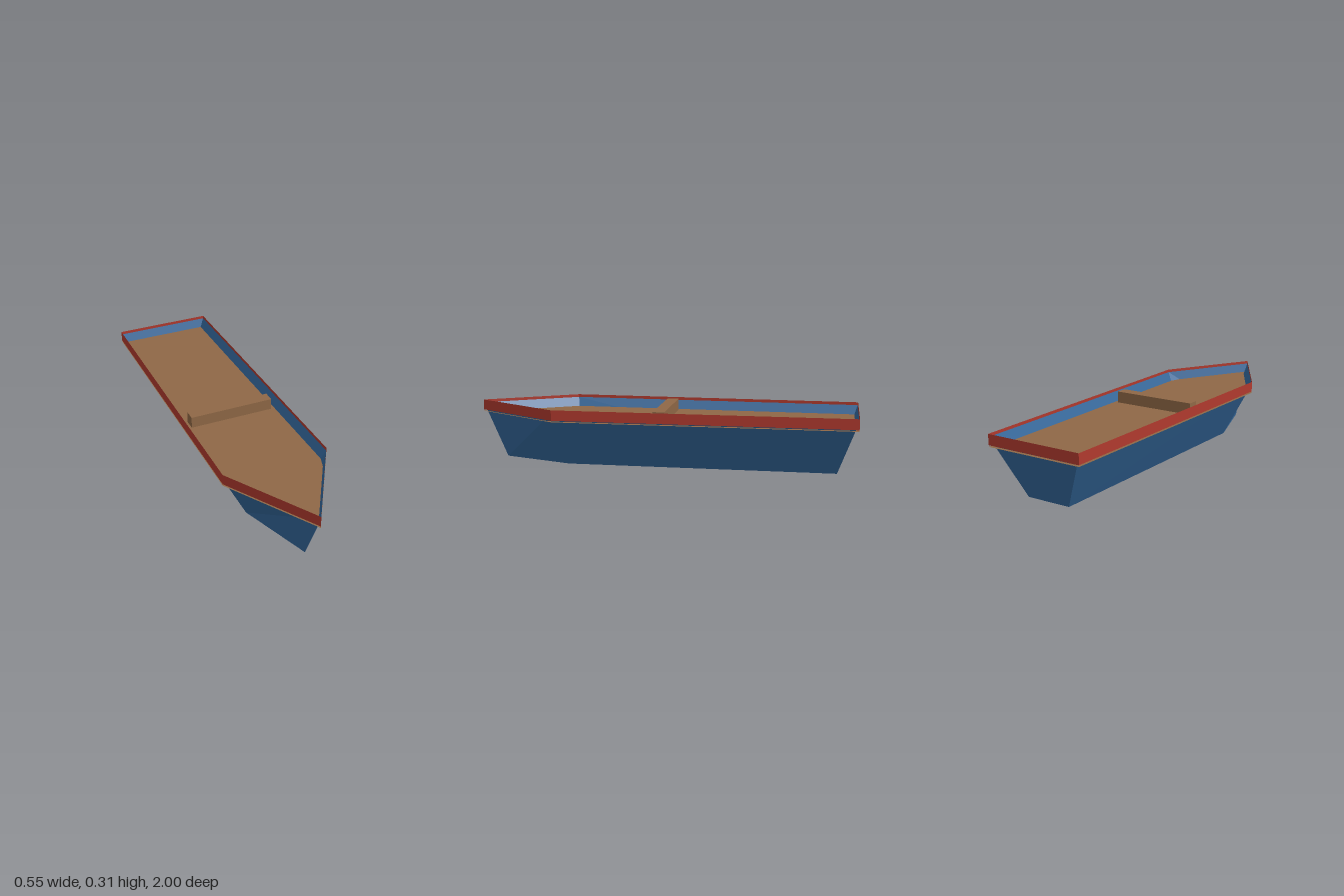
import * as THREE from 'three';

const paint = (name, color) => {
  const m = new THREE.MeshStandardMaterial({ color, side: THREE.DoubleSide, flatShading: true });
  m.name = name;
  return m;
};

// Five-cornered boat outline: pointed bow, two shoulders, flat stern
function outline(y, bowZ, shoulderX, shoulderZ, sternX, sternZ) {
  return [
    [0, y, bowZ], [shoulderX, y, shoulderZ], [sternX, y, sternZ],
    [-sternX, y, sternZ], [-shoulderX, y, shoulderZ],
  ];
}

function fromTriangles(points) {
  const g = new THREE.BufferGeometry();
  g.setAttribute('position', new THREE.Float32BufferAttribute(points.flat(), 3));
  g.computeVertexNormals();
  return g;
}

// Wall joining a lower outline to an upper one
function wall(low, high) {
  const pts = [];
  low.forEach((p, i) => {
    const j = (i + 1) % low.length;
    pts.push(p, low[j], high[j], p, high[j], high[i]);
  });
  return fromTriangles(pts);
}

// Flat sheet filling an outline
function sheet(ring) {
  const pts = [];
  for (let i = 1; i < ring.length - 1; i++) pts.push(ring[0], ring[i], ring[i + 1]);
  return fromTriangles(pts);
}

export function createModel() {
  const boat = new THREE.Group();
  boat.name = 'boat';
  const blue = paint('hullBlue', 0x336699);
  const red = paint('rimRed', 0xb03a2e);
  const brown = paint('woodBrown', 0x8f6846);

  const add = (name, geometry, material) => {
    const mesh = new THREE.Mesh(geometry, material);
    mesh.name = name;
    boat.add(mesh);
    return mesh;
  };

  // Flared hull, open at the bottom
  add('hull', wall(
    outline(0, 0.87, 0.129, 0.49, 0.118, -0.9),
    outline(0.292, 0.999, 0.274, 0.54, 0.259, -0.998)), blue);

  // Upright band around the top edge
  const rim = (y) => outline(y, 1, 0.275, 0.54, 0.26, -1);
  add('rimBand', wall(rim(0.253), rim(0.307)), red);

  // Deck sheet just below the band, reaching past the hull
  add('deck', sheet(rim(0.245)), brown);

  // Cross bench amidships
  add('bench', new THREE.BoxGeometry(0.45, 0.06, 0.06), brown).position.set(0, 0.275, -0.005);

  return boat;
}
